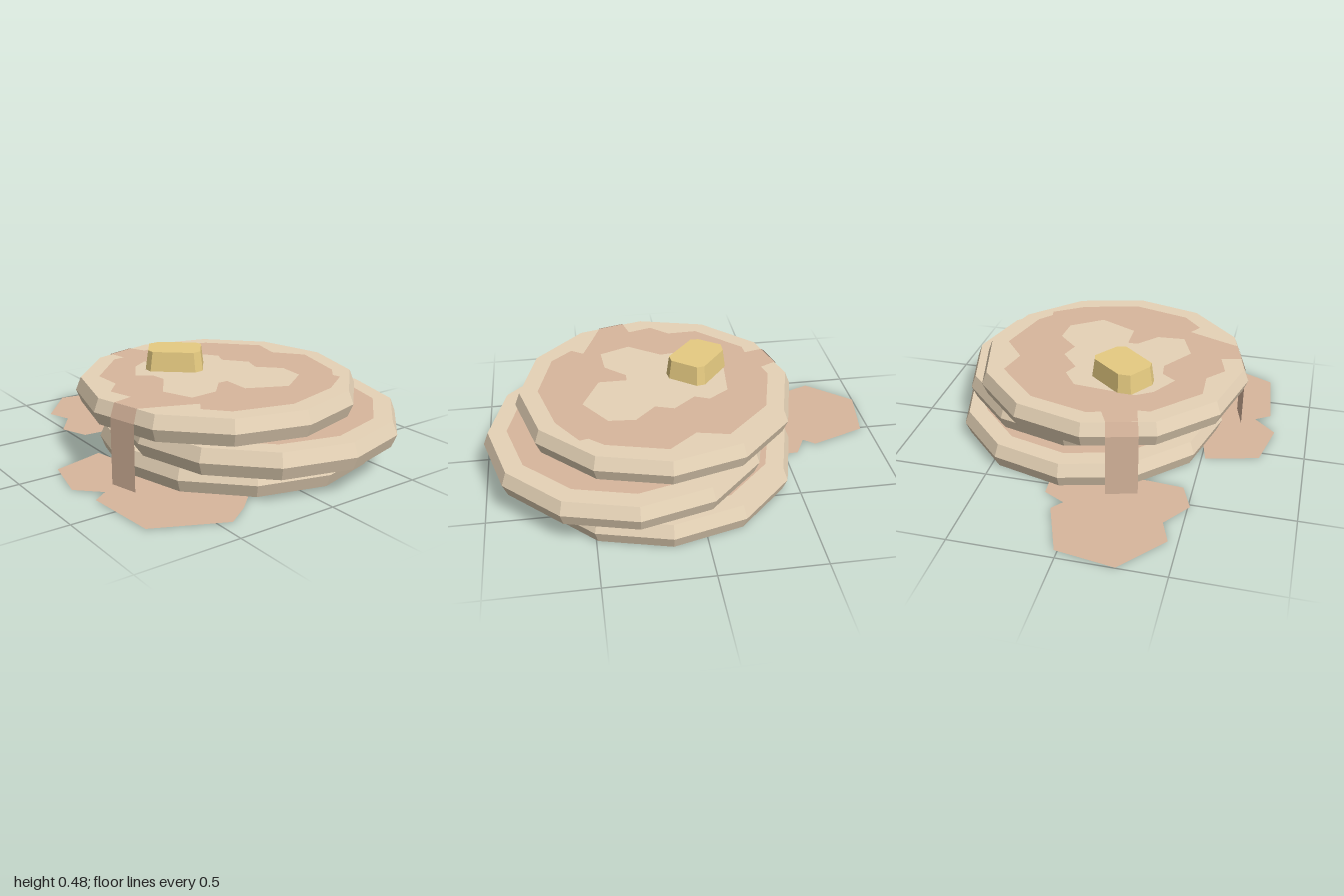
import * as THREE from 'three';

const material = (color, extra = {}) => new THREE.MeshStandardMaterial({ color, flatShading: true, ...extra });
const cakeMat = material(0xe6d3b7);
const syrupMat = material(0xd8b69d, { side: THREE.DoubleSide });
const butterMat = material(0xe6cb81);

const SIDES = 12, RIM = 0.665, BELLY = 0.69, BROWNED = 0.575, THICK = 0.13;
const TOP = { x: 0.01, z: 0.145 };

function mesh(name, geometry, mat) {
  const m = new THREE.Mesh(geometry, mat);
  m.name = name;
  return m;
}

// Flat horizontal patch from [x, z] corners
function flat(points, y, hole) {
  const toVec = ([x, z]) => new THREE.Vector2(x, -z);
  const shape = new THREE.Shape(points.map(toVec));
  if (hole) shape.holes.push(new THREE.Path(hole.map(toVec)));
  return new THREE.ShapeGeometry(shape).rotateX(-Math.PI / 2).translate(0, y, 0);
}

// Point on side k of the top pancake, t along the side, at radius r
function onSide(k, t, r) {
  const a = (k / SIDES) * Math.PI * 2, b = ((k + 1) / SIDES) * Math.PI * 2;
  return [
    TOP.x + r * THREE.MathUtils.lerp(Math.sin(a), Math.sin(b), t),
    TOP.z + r * THREE.MathUtils.lerp(Math.cos(a), Math.cos(b), t),
  ];
}

// Twelve-sided pancake with a bulging rim and browned faces
function pancake(name, x, y, z, brownTop) {
  const g = new THREE.Group();
  g.name = name;
  const lift = 0.002;
  const profile = [[0, lift], [RIM, lift], [BELLY, THICK / 2], [RIM, THICK - lift], [0, THICK - lift]]
    .map(([r, h]) => new THREE.Vector2(r, h));
  g.add(mesh('pancakeBody', new THREE.LatheGeometry(profile, SIDES), cakeMat));
  const disc = Array.from({ length: SIDES }, (_, i) => {
    const a = (i / SIDES) * Math.PI * 2;
    return [BROWNED * Math.sin(a), BROWNED * Math.cos(a)];
  });
  g.add(mesh('brownedBottom', flat(disc, 0), syrupMat));
  if (brownTop) g.add(mesh('brownedTop', flat(disc, THICK), syrupMat));
  g.position.set(x, y, z);
  return g;
}

// Syrup strip that follows the upper rim, then falls straight to the plate
function drip(name, k, t0, t1) {
  const rows = [[RIM + 0.003, 0.391], [BELLY + 0.003, 0.325], [BELLY + 0.003, 0]];
  const pos = [], index = [];
  rows.forEach(([r, y], i) => {
    for (const t of [t0, t1]) {
      const [x, z] = onSide(k, t, r);
      pos.push(x, y, z);
    }
    if (i) {
      const a = i * 2 - 2;
      index.push(a, a + 2, a + 1, a + 1, a + 2, a + 3);
    }
  });
  const geo = new THREE.BufferGeometry();
  geo.setAttribute('position', new THREE.Float32BufferAttribute(pos, 3));
  geo.setIndex(index);
  geo.computeVertexNormals();
  return mesh(name, geo, syrupMat);
}

// Chamfered butter pat, slightly narrower at the top
function butterPat() {
  const outline = [[-0.16, -0.23], [-0.095, -0.23], [0.065, -0.1], [0.073, -0.058],
    [-0.02, 0.068], [-0.07, 0.075], [-0.24, -0.07], [-0.24, -0.115]];
  const cx = -0.083, cz = -0.08, height = 0.098;
  const shape = new THREE.Shape(outline.map(([x, z]) => new THREE.Vector2(x - cx, cz - z)));
  const geo = new THREE.ExtrudeGeometry(shape, { depth: height, bevelEnabled: false }).rotateX(-Math.PI / 2);
  const p = geo.attributes.position;
  for (let i = 0; i < p.count; i++) {
    const s = 1 - 0.09 * (p.getY(i) / height);
    p.setXYZ(i, p.getX(i) * s, p.getY(i), p.getZ(i) * s);
  }
  geo.computeVertexNormals();
  const m = mesh('butter', geo, butterMat);
  m.position.set(cx, 0.387, cz);
  return m;
}

export function createModel() {
  const model = new THREE.Group();
  model.name = 'pancakeStack';

  // Stack
  model.add(pancake('bottomPancake', 0.127, 0, 0.16, true));
  model.add(pancake('middlePancake', 0.14, THICK, 0.307, true));
  model.add(pancake('topPancake', TOP.x, THICK * 2, TOP.z, false));

  // Syrup ring on top, with tongues running to the two drips
  const ring = [
    [0.01, -0.43], [0.3, -0.355], [0.51, -0.14], [0.475, 0.01], [0.585, 0.145], [0.51, 0.43],
    [0.45, 0.5], [0.46, 0.54], [0.3, 0.645], [0.01, 0.72], [-0.275, 0.645], [-0.37, 0.54],
    [-0.33, 0.48], [-0.48, 0.42], onSide(9, 0.7, RIM), onSide(9, 0.3, RIM), [-0.53, 0.22],
    [-0.565, 0.1], [-0.485, 0.01], [-0.49, -0.14], [-0.28, -0.355], [-0.22, -0.36],
    onSide(6, 0.76, RIM), onSide(6, 0.33, RIM), [-0.06, -0.41],
  ];
  const bare = [
    [-0.18, -0.23], [0.13, -0.2], [0.2, -0.1], [0.17, -0.03], [0.26, 0.08], [0.23, 0.17],
    [0.33, 0.27], [0.32, 0.4], [0.16, 0.51], [-0.03, 0.42], [-0.03, 0.28], [-0.08, 0.28],
    [-0.17, 0.38], [-0.31, 0.39], [-0.37, 0.24], [-0.26, 0.08], [-0.27, 0], [-0.34, -0.05], [-0.26, -0.18],
  ];
  model.add(mesh('topSyrup', flat(ring, THICK * 3, bare), syrupMat));
  model.add(drip('backDrip', 6, 0.33, 0.76), drip('sideDrip', 9, 0.3, 0.7));

  // Syrup puddles around the base
  const backPuddle = [
    [-0.27, -1], [0.015, -0.955], [0.115, -0.68], [0.07, -0.625], [0.175, -0.57], [0.18, -0.48],
    [0.1, -0.4], [-0.2, -0.36], [-0.455, -0.38], [-0.51, -0.52], [-0.41, -0.66], [-0.455, -0.78],
  ];
  const sidePuddle = [
    [-0.52, -0.12], [-0.78, -0.05], [-0.835, 0.2], [-0.725, 0.305], [-0.8, 0.355], [-0.77, 0.715],
    [-0.44, 0.87], [-0.32, 0.79], [-0.2, 0.68], [-0.4, 0.4],
  ];
  model.add(mesh('backPuddle', flat(backPuddle, 0.003), syrupMat));
  model.add(mesh('sidePuddle', flat(sidePuddle, 0.003), syrupMat));

  model.add(butterPat());
  return model;
}
